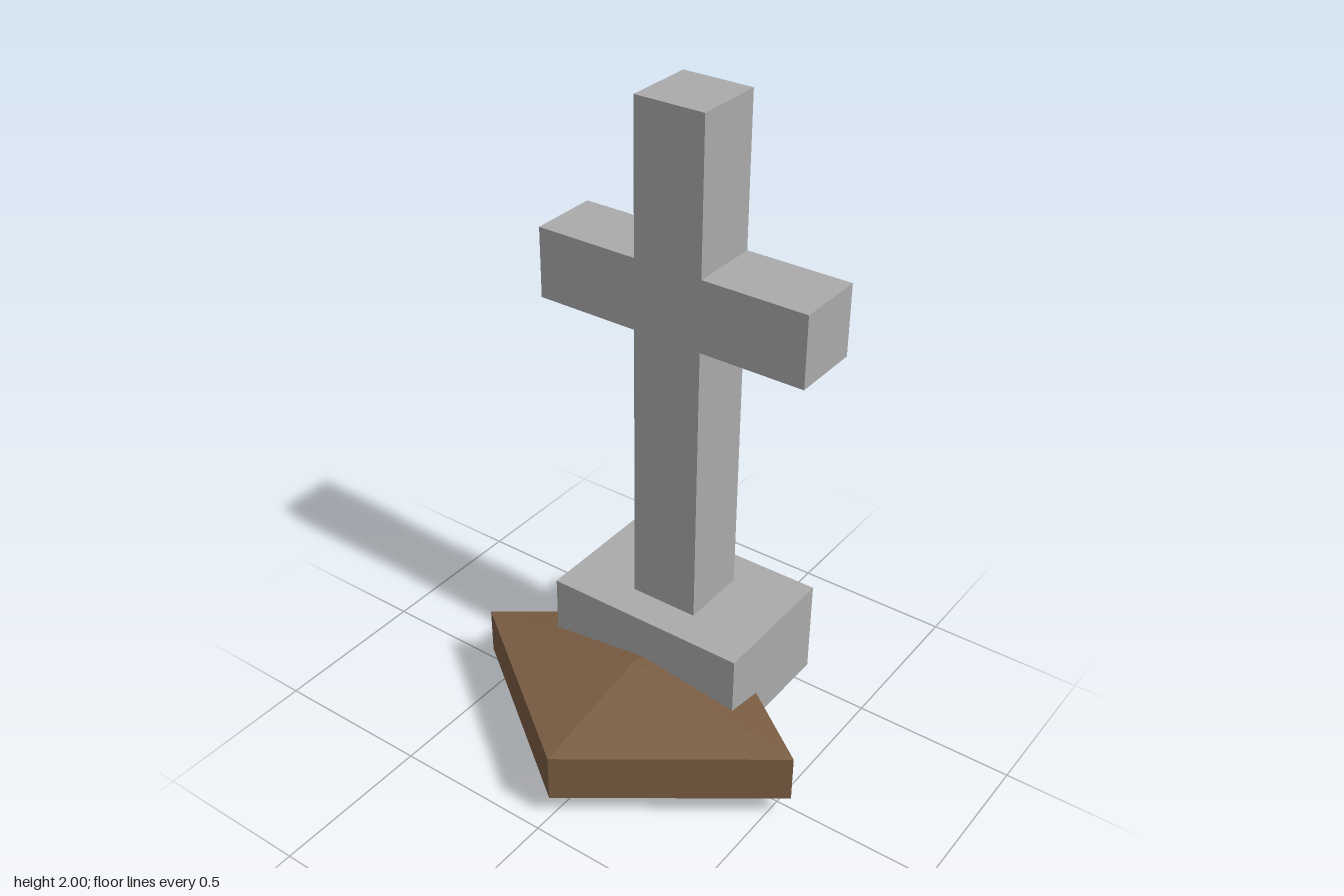
import * as THREE from 'three';

export function createModel() {
  const group = new THREE.Group();
  const stone = new THREE.MeshStandardMaterial({ color: 0xaaaaaa, flatShading: true });
  stone.name = 'grey stone';
  const earth = new THREE.MeshStandardMaterial({ color: 0x7a5d43, flatShading: true });
  earth.name = 'brown earth';

  const add = (name, geometry, material, x, y, z) => {
    const mesh = new THREE.Mesh(geometry, material);
    mesh.name = name;
    mesh.position.set(x, y, z);
    group.add(mesh);
    return mesh;
  };

  const stoneZ = -0.228; // centre line of the stonework
  const half = 0.1085;   // half thickness of the cross bars
  const reach = 0.433;   // half length of the cross arm
  const armLow = 1.33, armHigh = 1.547, foot = 0.435;

  // Earth mound: a squashed four-sided sphere with a vertical rim
  const mound = add('mound', new THREE.SphereGeometry(1, 4, 3), earth, 0, 0.153, 0.033);
  mound.scale.set(0.652, 0.153, 0.475);

  // Block under the cross
  add('base', new THREE.BoxGeometry(0.65, 0.305, 0.434), stone, 0, 0.2825, stoneZ);

  // Cross cut from one outline, right half mirrored to the left
  const right = [[half, foot], [half, armLow], [reach, armLow], [reach, armHigh], [half, armHigh], [half, 2]];
  const left = right.map(([x, y]) => [-x, y]).reverse();
  const outline = new THREE.Shape([...right, ...left].map(([x, y]) => new THREE.Vector2(x, y)));
  const cross = new THREE.ExtrudeGeometry(outline, { depth: 2 * half, bevelEnabled: false });
  add('cross', cross, stone, 0, 0, stoneZ - half);

  return group;
}
